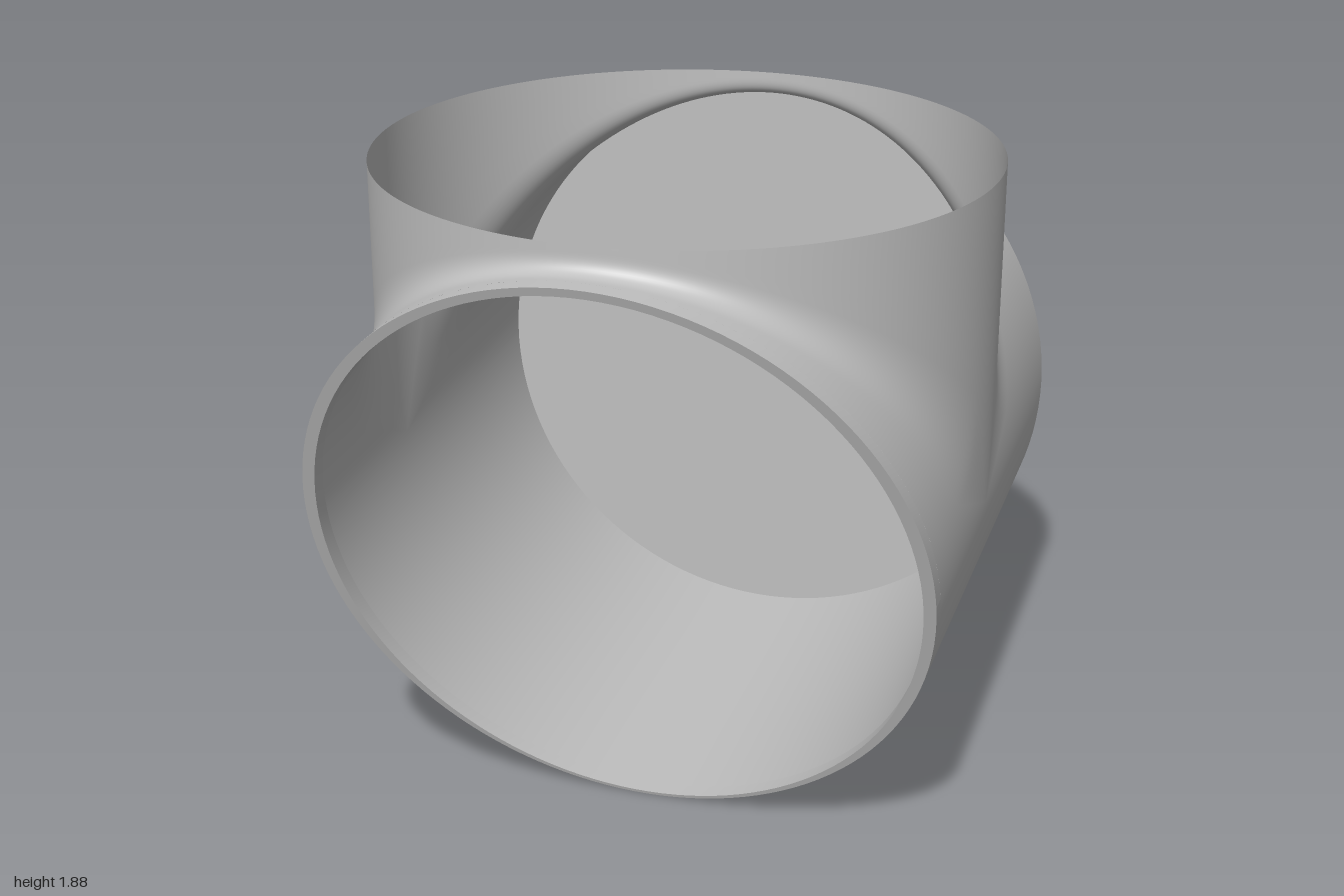
import * as THREE from 'three';

const R = 0.9;          // radius of both pipes
const AXIS = 0.9;       // height of the horizontal axis
const CZ = -0.02;       // z of the vertical axis
const TOP = 1.875;
const BACK = -1;
const LIP = 0.055;      // depth of the front lip
const frontZ = (y) => 0.38 + 0.344 * y;   // slanted front plane

const material = new THREE.MeshStandardMaterial({ color: 0xc0c0c0, side: THREE.DoubleSide });
material.name = 'light grey';

// Surface through rows of points, smooth within one sheet
function sheet(rows) {
  const n = rows[0].length, pos = [], index = [];
  rows.forEach((row) => row.forEach((p) => pos.push(...p)));
  for (let i = 0; i < rows.length - 1; i++) {
    for (let j = 0; j < n - 1; j++) {
      const a = i * n + j, b = a + 1, c = a + n, d = c + 1;
      index.push(a, b, c, b, d, c);
    }
  }
  const g = new THREE.BufferGeometry();
  g.setAttribute('position', new THREE.Float32BufferAttribute(pos, 3));
  g.setIndex(index);
  g.computeVertexNormals();
  return g;
}

// Normals point straight sideways where the sheets meet at the widest line
function squareSides(g) {
  const p = g.attributes.position, nrm = g.attributes.normal;
  for (let i = 0; i < p.count; i++) {
    if (Math.abs(p.getX(i)) > R - 1e-5) nrm.setXYZ(i, Math.sign(p.getX(i)), 0, 0);
  }
  return g;
}

const sweep = (from, to, steps, fn) =>
  Array.from({ length: steps + 1 }, (_, i) => fn(from + ((to - from) * i) / steps));

// One slice at constant x: along the pipe, round the fillet, up to the top edge
function branchSlice(t, side) {
  const x = R * Math.cos(t), h = Math.max(0, R * Math.sin(t)), y = AXIS + h;
  const d = Math.min(0.05 + 0.22 * (1 - h / R), 1.5 * h);
  const end = side > 0 ? frontZ(y) - LIP : BACK;
  const edge = CZ + side * h;
  const pts = sweep(0, 1, 4, (k) => [x, y, end + (edge + side * d - end) * k]);
  for (let k = 1; k <= 12; k++) {
    const s = k / 12;
    pts.push([x, y + d * s * s, edge + side * d * (1 - s) * (1 - s)]);
  }
  for (let k = 1; k <= 4; k++) pts.push([x, y + d + ((TOP - y - d) * k) / 4, edge]);
  return side > 0 ? pts : pts.reverse();
}

export function createModel() {
  const group = new THREE.Group();
  const add = (name, geometry) => {
    const mesh = new THREE.Mesh(geometry, material);
    mesh.name = name;
    group.add(mesh);
    return mesh;
  };

  // Upper halves, blending the pipe into the vertical collar
  add('frontBranch', squareSides(sheet(sweep(0, Math.PI, 96, (t) => branchSlice(t, 1)))));
  add('backBranch', squareSides(sheet(sweep(0, Math.PI, 96, (t) => branchSlice(t, -1)))));

  // Lower half of the horizontal pipe
  add('lowerPipe', squareSides(sheet(sweep(Math.PI, 2 * Math.PI, 64, (t) => {
    const x = R * Math.cos(t), y = AXIS + R * Math.sin(t), z = frontZ(y) - LIP;
    return sweep(0, 1, 4, (k) => [x, y, z + (BACK - z) * k]);
  }))));

  // Closed back end
  const cap = add('backCap', new THREE.CircleGeometry(R, 128));
  cap.rotation.y = Math.PI;
  cap.position.set(0, AXIS, BACK);

  // Lip round the slanted opening: outer band, back, inner band, front
  const lip = new THREE.Group();
  lip.name = 'frontLip';
  const corner = (t, inner, depth) => {
    const x = (inner ? 0.865 : R) * Math.cos(t);
    const y = inner ? 0.8925 + 0.8825 * Math.sin(t) : AXIS + R * Math.sin(t);
    return [x, y, frontZ(y) - depth];
  };
  const loop = [[false, 0], [false, LIP], [true, LIP], [true, 0]];
  ['lipOuter', 'lipBack', 'lipInner', 'lipFace'].forEach((name, i) => {
    const a = loop[i], b = loop[(i + 1) % 4];
    const rows = sweep(0, 2 * Math.PI, 128, (t) => [corner(t, ...a), corner(t, ...b)]);
    lip.add(add(name, sheet(rows)));
  });
  group.add(lip);

  return group;
}
